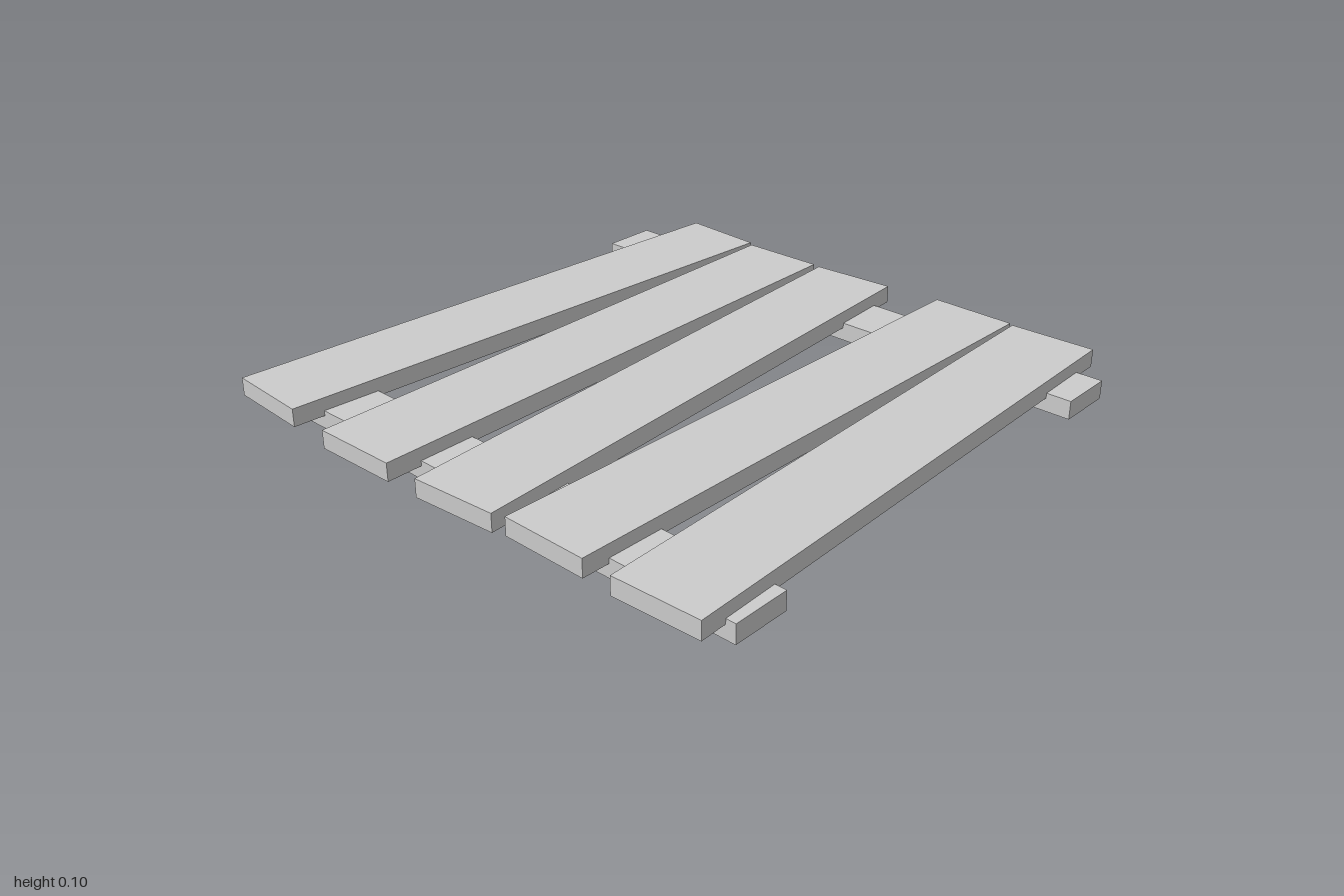
import * as THREE from 'three';

export function createModel() {
  const model = new THREE.Group();
  const material = new THREE.MeshStandardMaterial({ color: 0xcccccc, flatShading: true });

  // A board resting with its underside at the given height
  function addBoard(name, [w, h, d], [x, bottom, z], yaw = 0) {
    const board = new THREE.Mesh(new THREE.BoxGeometry(w, h, d), material);
    board.name = name;
    board.position.set(x, bottom + h / 2, z);
    board.rotation.y = yaw;
    model.add(board);
  }

  // Two cross rails underneath
  addBoard('frontRail', [1.965, 0.062, 0.193], [-0.002, 0, 0.773]);
  addBoard('backRail', [1.965, 0.062, 0.193], [-0.002, 0, -0.799]);

  // Five planks laid crookedly across the rails: x, z, yaw
  const planks = [
    [-0.739, -0.013, -0.0665],
    [-0.352, 0.012, 0.0135],
    [0.015, 0.004, 0.064],
    [0.422, -0.019, -0.0145],
    [0.773, -0.014, 0.0325],
  ];
  planks.forEach(([x, z, yaw], i) =>
    addBoard(`plank${i + 1}`, [0.292, 0.06, 1.96], [x, 0.045, z], yaw));

  return model;
}
